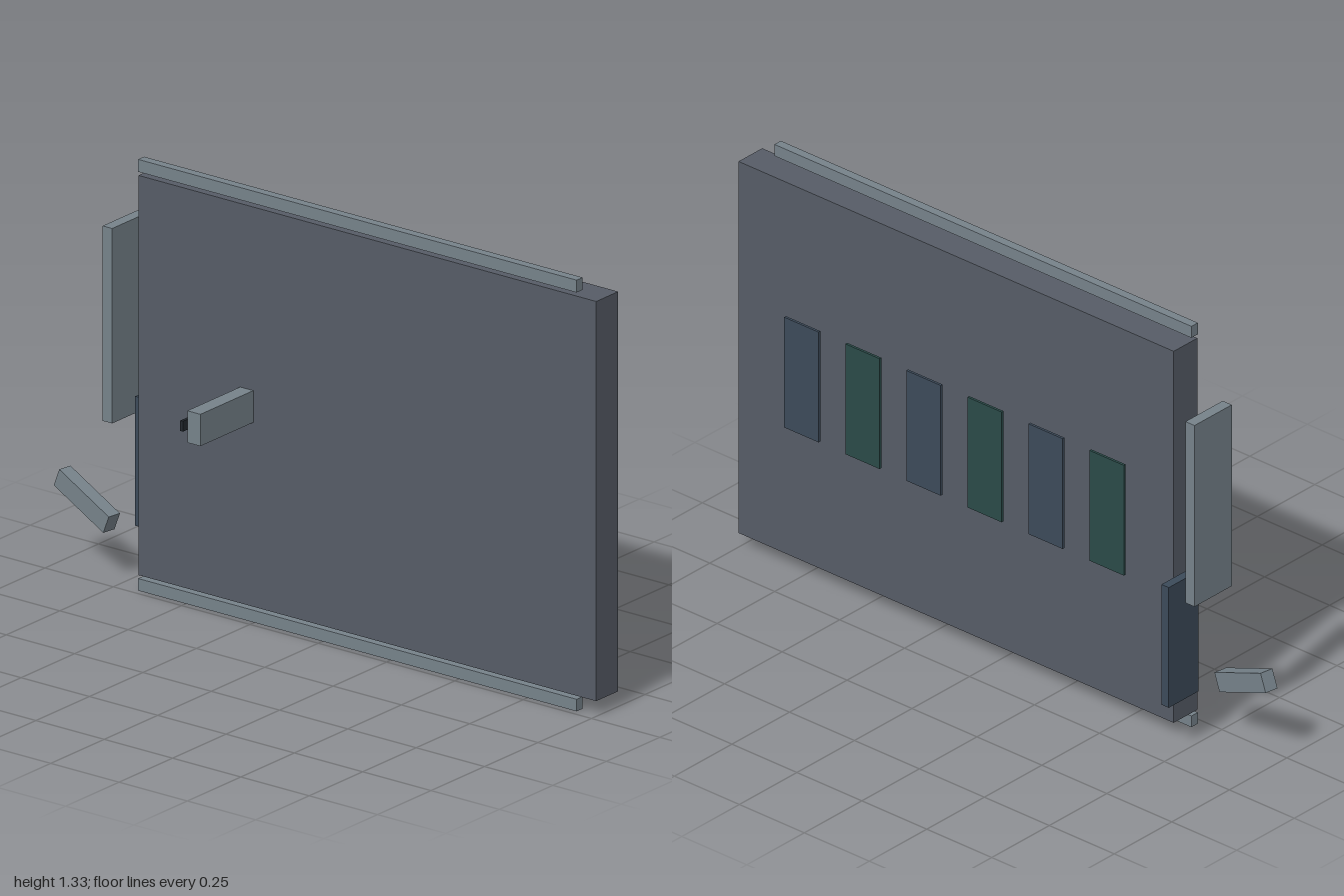
import * as THREE from 'three';

const material = (color) => new THREE.MeshStandardMaterial({ color });

export function createModel() {
  const model = new THREE.Group();
  const slate = material(0x565c66);
  const steel = material(0x76828a);
  const blue = material(0x3c4a59);
  const green = material(0x2a4a48);
  const dark = material(0x22282e);

  // Box given by its limits on each axis
  const box = (name, mat, [x0, x1], [y0, y1], [z0, z1]) => {
    const mesh = new THREE.Mesh(new THREE.BoxGeometry(x1 - x0, y1 - y0, z1 - z0), mat);
    mesh.name = name;
    mesh.position.set((x0 + x1) / 2, (y0 + y1) / 2, (z0 + z1) / 2);
    model.add(mesh);
    return mesh;
  };

  // Door slab with a guide rail above and below
  box('doorSlab', slate, [0.022, 0.125], [0.05, 1.28], [-0.675, 1]);
  box('topRail', steel, [0.02, 0.048], [1.292, 1.33], [-0.675, 0.93]);
  box('bottomRail', steel, [0.02, 0.048], [0.003, 0.04], [-0.675, 0.93]);

  // Row of six window tiles, alternating blue and green
  for (let i = 0; i < 6; i++) {
    const z = 0.735 - i * 0.235;
    box('windowTile' + (i + 1), i % 2 ? green : blue, [0.143, 0.151], [0.485, 0.85], [z - 0.066, z + 0.066]);
  }

  // Handle on the plain side, with a thin strip behind it
  box('handle', steel, [-0.225, 0.022], [0.617, 0.715], [-0.303, -0.255]);
  box('handleStrip', dark, [-0.217, 0.022], [0.643, 0.675], [-0.335, -0.325]);

  // Separate plates beyond the rear edge
  box('rearPlate', steel, [0.01, 0.172], [0.5, 1.1], [-0.797, -0.762]);
  box('lowerPlate', blue, [0.092, 0.222], [0.166, 0.564], [-0.742, -0.714]);

  // Tilted lever
  const lever = box('lever', steel, [0.019, 0.063], [0.201, 0.261], [-0.993, -0.765]);
  lever.rotation.set(0.4, -0.16, 0, 'YXZ');
  lever.position.set(0.04, 0.231, -0.878);

  return model;
}
